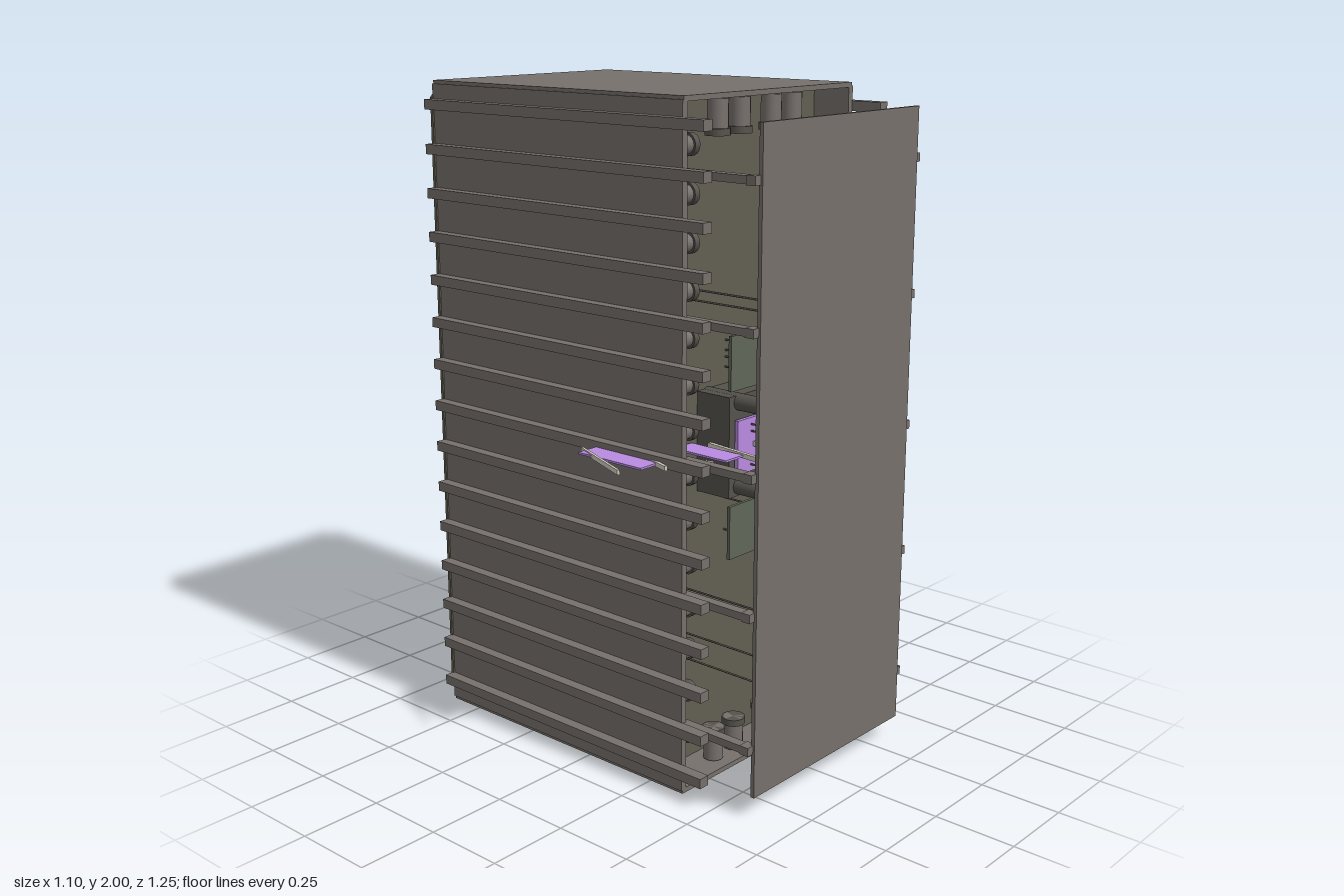
import * as THREE from 'three';

const mat = (color) => new THREE.MeshStandardMaterial({ color });
const steel = mat(0x77706c), olive = mat(0x615f52), dark = mat(0x55524c);
const pale = mat(0xcfcabd), violet = mat(0xb98be0), green = mat(0x5f6657);

export function createModel() {
  const root = new THREE.Group();

  const add = (name, geo, m, x, y, z, parent = root) => {
    const mesh = new THREE.Mesh(geo, m);
    mesh.name = name;
    mesh.position.set(x, y, z);
    parent.add(mesh);
    return mesh;
  };
  const box = (name, m, w, h, d, x, y, z, parent) =>
    add(name, new THREE.BoxGeometry(w, h, d), m, x, y, z, parent);
  // cylinder lying along the chosen axis
  const rod = (name, m, r, len, axis, x, y, z, parent, sides = 16) => {
    const g = new THREE.CylinderGeometry(r, r, len, sides);
    if (axis === 'x') g.rotateZ(Math.PI / 2);
    if (axis === 'z') g.rotateX(Math.PI / 2);
    return add(name, g, m, x, y, z, parent);
  };
  // flat bar joining two points in plan at height y
  const bar = (name, m, x1, z1, x2, z2, w, h, y, parent) => {
    const b = box(name, m, w, h, Math.hypot(x2 - x1, z2 - z1), (x1 + x2) / 2, y, (z1 + z2) / 2, parent);
    b.rotation.y = Math.atan2(x2 - x1, z2 - z1);
    return b;
  };
  const group = (name) => {
    const g = new THREE.Group();
    g.name = name;
    root.add(g);
    return g;
  };

  // Cabinet shell, open at the front
  const shell = group('cabinet');
  const front = 0.375, back = -0.615, depth = front - back, mid = (front + back) / 2;
  for (const s of [-1, 1]) {
    box('sideWall', steel, 0.02, 1.98, depth, s * 0.37, 1, mid, shell);
    box('endWall', steel, 0.75, 0.015, depth, 0, 1 + s * 0.9925, mid, shell);
  }
  box('innerPanel', olive, 0.72, 1.97, 0.02, 0, 1, 0.24, shell);

  // Back plate with clipped corners, two long strips and small studs
  const w = 0.385, h = 0.985, c = 0.035;
  const plate = new THREE.Shape([
    [-w, -h + c], [-w + c, -h], [w - c, -h], [w, -h + c],
    [w, h - c], [w - c, h], [-w + c, h], [-w, h - c],
  ].map(([x, y]) => new THREE.Vector2(x, y)));
  add('backPlate', new THREE.ExtrudeGeometry(plate, { depth: 0.01, bevelEnabled: false }), olive, 0, 1, -0.62, shell);
  for (const s of [-1, 1]) {
    box('backStrip', steel, 0.08, 1.8, 0.006, s * 0.2, 1, -0.622, shell);
    for (const y of [1.62, 1.25, 0.88, 0.51])
      box('backStud', steel, 0.036, 0.036, 0.012, s * 0.272, y, -0.625, shell);
  }

  // Fifteen side rails; every third one carries a door support
  const rails = group('rails');
  for (let i = 0; i < 15; i++) {
    const y = 0.08 + i * 0.1322;
    for (const s of [-1, 1]) {
      box('sideRail', steel, 0.035, 0.03, 1.09, s * 0.396, y, -0.07, rails);
      if (i % 3 === 1) {
        box('doorSupport', steel, 0.03, 0.022, 0.36, s * 0.36, y, 0.425, rails);
        box('supportEnd', steel, 0.035, 0.026, 0.03, s * 0.36, y, 0.602, rails);
      }
    }
  }

  // Locking bolts round the opening
  const bolts = group('lockingBolts');
  for (const s of [-1, 1]) {
    for (let i = 0; i < 14; i++) {
      const y = 0.146 + i * 0.1322;
      rod('sideBolt', steel, 0.026, 0.08, 'x', s * 0.32, y, 0.315, bolts);
      rod('boltCollar', dark, 0.032, 0.02, 'x', s * 0.285, y, 0.315, bolts);
    }
    for (const x of [-0.165, -0.07, 0.07, 0.165]) {
      rod('endBolt', steel, 0.03, 0.1, 'y', x, 1 + s * 0.93, 0.315, bolts);
      rod('boltCollar', dark, 0.036, 0.02, 'y', x, 1 + s * 0.89, 0.315, bolts);
    }
  }

  // Front door, held away from the cabinet, ribbed on its inner side
  const door = group('door');
  box('doorPlate', steel, 0.71, 1.88, 0.012, 0, 1.005, 0.617, door);
  box('doorInnerPlate', olive, 0.64, 1.8, 0.01, 0, 1, 0.606, door);
  for (let i = 0; i < 7; i++)
    box('doorRib', steel, 0.012, 1.78, 0.012, -0.3 + i * 0.1, 1, 0.597, door);
  for (let i = 0; i < 8; i++)
    box('doorCrossRib', steel, 0.6, 0.012, 0.012, 0, 0.13 + i * 0.2486, 0.596, door);

  // Two pairs of pistons
  const pistons = group('pistons');
  for (const s of [-1, 1]) for (const y of [0.88, 1.13]) {
    rod('pistonBody', dark, 0.025, 0.33, 'z', s * 0.125, y, 0.41, pistons, 24);
    rod('pistonNeck', green, 0.018, 0.04, 'z', s * 0.125, y, 0.575, pistons, 24);
    rod('pistonFlange', green, 0.037, 0.016, 'z', s * 0.125, y, 0.572, pistons, 24);
    rod('pistonCollar', green, 0.03, 0.016, 'z', s * 0.125, y, 0.55, pistons, 24);
    rod('pistonTip', pale, 0.01, 0.02, 'z', s * 0.125, y, 0.598, pistons);
  }

  // Thin guide pins between the panel and the door
  const pins = group('guidePins');
  for (const s of [-1, 1]) {
    for (const y of [0.35, 0.43, 0.54, 0.57, 0.7, 0.8, 1.2, 1.23, 1.25, 1.28, 1.36, 1.43, 1.46])
      rod('guidePin', dark, 0.003, 0.36, 'z', s * (y > 1.3 || y < 0.6 ? 0.235 : 0.045), y, 0.42, pins, 8);
    for (const y of [0.94, 0.96, 1.04, 1.06])
      rod('shortPin', dark, 0.003, 0.3, 'z', s * 0.09, y, 0.4, pins, 8);
  }
  for (const y of [0.88, 1.13]) box('crossBar', dark, 0.56, 0.012, 0.012, 0, y, 0.558, pins);

  // Central mechanism
  const gear = group('mechanism');
  box('hubPlate', violet, 0.3, 0.16, 0.012, 0, 1, 0.38, gear);
  box('hubMount', dark, 0.34, 0.3, 0.12, 0, 1, 0.31, gear);
  rod('hubBar', violet, 0.004, 0.2, 'x', 0, 1.05, 0.43, gear, 8);
  rod('hubBar', violet, 0.004, 0.2, 'x', 0, 0.95, 0.43, gear, 8);
  for (const y of [0.75, 1.25]) {
    box('slidePlate', green, 0.36, 0.16, 0.01, 0, y, 0.378, gear);
    rod('slideKnob', green, 0.012, 0.05, 'z', 0, y, 0.4, gear);
  }

  // Linkages at mid height, passing through both sides
  const links = group('linkages');
  for (const s of [-1, 1]) {
    box('outerLinkPlate', violet, 0.105, 0.006, 0.237, s * 0.432, 1, 0.197, links);
    box('innerLinkPlate', violet, 0.075, 0.006, 0.19, s * 0.238, 1, 0.35, links);
    bar('outerLever', pale, s * 0.45, 0.06, s * 0.545, 0.29, 0.008, 0.014, 1, links);
    bar('sideLever', pale, s * 0.36, 0.14, s * 0.432, 0.362, 0.01, 0.014, 1, links);
    bar('middleLever', pale, s * 0.355, 0.25, s * 0.317, 0.435, 0.012, 0.014, 1, links);
    bar('innerLever', pale, s * 0.175, 0.3, s * 0.2, 0.5, 0.012, 0.014, 1, links);
    bar('pushArm', pale, s * 0.07, 0.3, s * 0.078, 0.58, 0.02, 0.014, 1, links);
  }

  return root;
}
